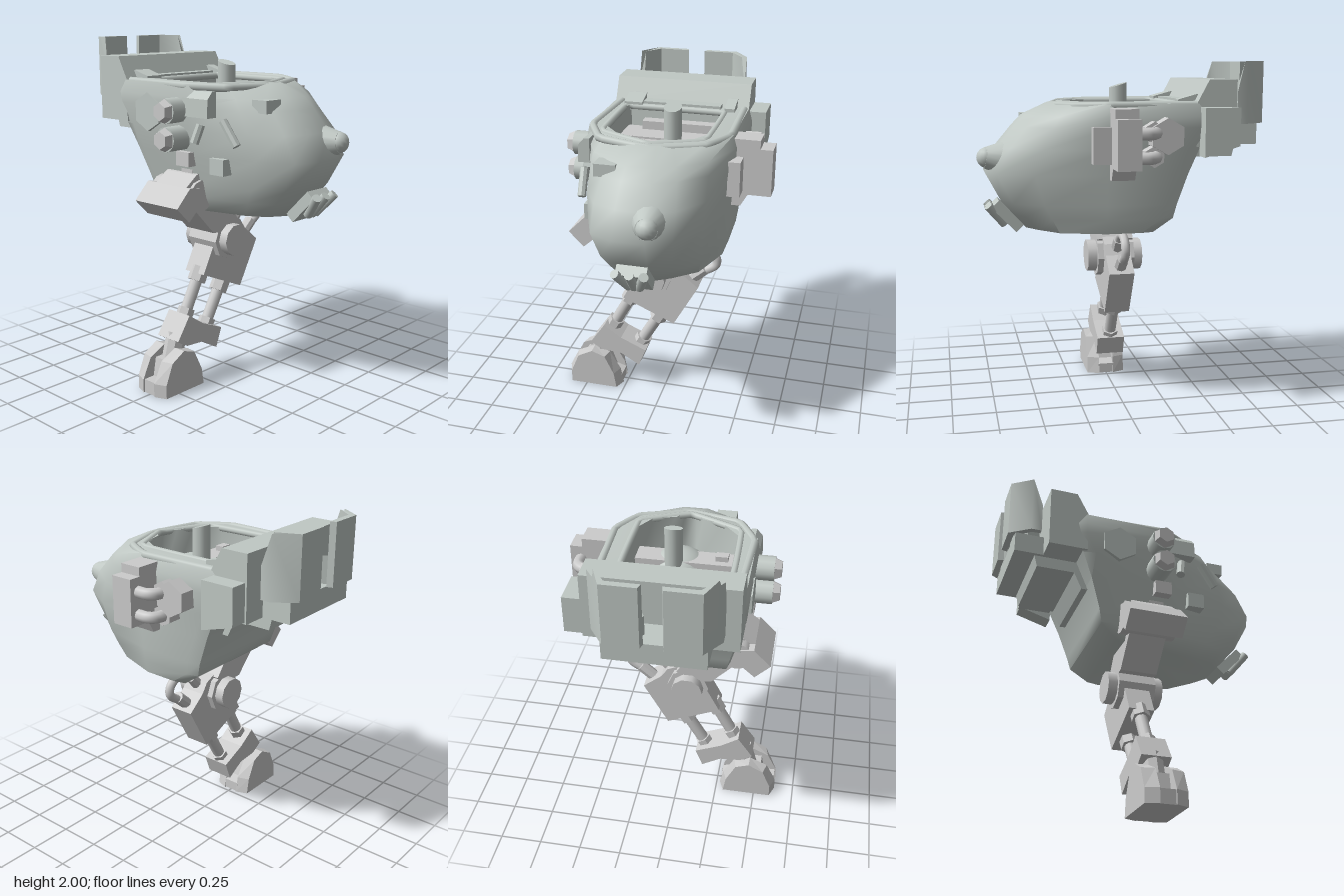
import * as THREE from 'three';
import { toCreasedNormals } from 'three/addons/utils/BufferGeometryUtils.js';

const V = (p) => new THREE.Vector3(...p);

export function createModel() {
  const root = new THREE.Group();
  const shell = new THREE.MeshStandardMaterial({ color: 0xc0c8c4, side: THREE.DoubleSide });
  const metal = new THREE.MeshStandardMaterial({ color: 0xcccccc });

  const add = (name, geo, mat) => {
    const m = new THREE.Mesh(geo, mat);
    m.name = name;
    root.add(m);
    return m;
  };
  // box given by its min and max corners
  const box = (name, mat, a, b) => {
    const m = add(name, new THREE.BoxGeometry(b[0] - a[0], b[1] - a[1], b[2] - a[2]), mat);
    m.position.set((a[0] + b[0]) / 2, (a[1] + b[1]) / 2, (a[2] + b[2]) / 2);
    return m;
  };
  // cylinder between two points, with an optional second radius at the far end
  const rod = (name, mat, a, b, r, sides = 12, r2 = r, open = false) => {
    const d = V(b).sub(V(a));
    const g = new THREE.CylinderGeometry(r2, r, d.length(), sides, 1, open);
    const m = add(name, sides < 10 ? toCreasedNormals(g, 0.3) : g, mat);
    m.position.copy(V(a)).addScaledVector(d, 0.5);
    m.quaternion.setFromUnitVectors(new THREE.Vector3(0, 1, 0), d.normalize());
    return m;
  };
  const tube = (name, mat, pts, r, closed = false, tension = 0.5) => add(name,
    new THREE.TubeGeometry(new THREE.CatmullRomCurve3(pts.map(V), closed, 'catmullrom', tension), 48, r, 8, closed), mat);
  const outline = (pts) => new THREE.Shape(pts.map((p) => new THREE.Vector2(...p)));
  // side profile in (z, y), extruded across x
  const sideProfile = (name, mat, pts, x0, x1) => {
    const g = new THREE.ExtrudeGeometry(outline(pts), { depth: x1 - x0, bevelEnabled: false });
    g.translate(0, 0, -(x1 - x0) / 2).rotateY(-Math.PI / 2).translate((x0 + x1) / 2, 0, 0);
    return add(name, g, mat);
  };
  // front profile in (x, y), extruded along z
  const frontProfile = (name, mat, pts, z0, z1) => {
    const g = new THREE.ExtrudeGeometry(outline(pts), { depth: z1 - z0, bevelEnabled: false });
    return add(name, g.translate(0, 0, z0), mat);
  };

  // --- Hull: horizontal rings going up, over the rim and down into the cockpit
  // [y, rear x, front x, +z width, -z width, front width]
  const levels = [
    [1.05, -0.15, 0.54, 0.28, 0.37, 0.16],
    [1.13, -0.26, 0.61, 0.32, 0.39, 0.18],
    [1.21, -0.28, 0.68, 0.34, 0.4, 0.2],
    [1.38, -0.34, 0.77, 0.38, 0.41, 0.22],
    [1.52, -0.4, 0.7, 0.41, 0.42, 0.22],
    [1.64, -0.46, 0.6, 0.42, 0.43, 0.2],
    [1.7, -0.46, 0.54, 0.425, 0.43, 0.18],
    [1.77, -0.46, 0.39, 0.41, 0.41, 0.12],
    [1.77, -0.31, 0.34, 0.31, 0.28, 0.08],
    [1.54, -0.3, 0.33, 0.3, 0.27, 0.08],
  ];
  const ring = ([y, x0, x1, wp, wn, f]) => {
    const half = (w, s, k) => {
      const xs = 0.12;
      return [[x0, w * 0.95], [x0 + 0.07, w], [xs, w], [xs + (x1 - xs) * 0.6, w * k + f * (1 - k)], [x1 - 0.06, f], [x1, f * 0.4]]
        .map(([x, z]) => [x, y, z * s]);
    };
    return [...half(wp, 1, 0.5), ...half(wn, -1, 0.6).reverse()];
  };
  const rings = levels.map(ring);
  const n = rings[0].length, pos = [], idx = [];
  rings.forEach((r) => r.forEach((p) => pos.push(...p)));
  for (let k = 0; k < rings.length - 1; k++) {
    for (let i = 0; i < n; i++) {
      const a = k * n + i, b = k * n + (i + 1) % n;
      idx.push(a, b, b + n, a, b + n, a + n);
    }
  }
  const last = (rings.length - 1) * n;
  for (let i = 1; i < n - 1; i++) idx.push(0, i + 1, i, last, last + i, last + i + 1);
  const hull = new THREE.BufferGeometry();
  hull.setAttribute('position', new THREE.Float32BufferAttribute(pos, 3));
  hull.setIndex(idx);
  add('hull', toCreasedNormals(hull, 1.2), shell);

  // Cockpit rims
  tube('outerRim', shell, [[-0.45, 1.76, 0.37], [0.1, 1.76, 0.395], [0.3, 1.755, 0.29], [0.38, 1.75, 0],
    [0.28, 1.755, -0.29], [0.1, 1.76, -0.395], [-0.45, 1.76, -0.38]], 0.024, false, 0.05);
  tube('innerRim', shell, [[-0.3, 1.76, 0.32], [0.2, 1.76, 0.31], [0.345, 1.76, 0],
    [0.22, 1.76, -0.28], [-0.3, 1.76, -0.28]], 0.02, true, 0.05);
  box('cockpitBackrest', shell, [-0.42, 1.66, -0.25], [-0.32, 1.79, 0.31]);
  [[0.22, 0.33], [-0.34, -0.28]].forEach(([a, b]) => frontProfile('rimLatch', shell,
    [[-0.43, 1.74], [-0.29, 1.74], [-0.29, 1.79], [-0.4, 1.82], [-0.43, 1.82]], a, b));

  // Cockpit interior
  box('seatBase', metal, [-0.28, 1.52, -0.27], [-0.08, 1.65, 0.3]);
  box('seatBack', metal, [-0.29, 1.52, -0.25], [-0.22, 1.7, 0.2]);
  box('console', metal, [-0.02, 1.52, -0.26], [0.11, 1.66, 0.3]);
  box('consoleSwitch', metal, [0.02, 1.66, 0.19], [0.07, 1.69, 0.26]);
  const dome = add('consoleDome', new THREE.SphereGeometry(0.16, 20, 10, 0, Math.PI * 2, 0, Math.PI / 2), shell);
  dome.position.set(0.07, 1.53, -0.02);
  dome.scale.set(1, 1, 1.15);
  // periscope with a slanted top
  const scope = rod('periscope', shell, [-0.01, 1.6, -0.04], [-0.01, 1.865, -0.04], 0.052, 12);
  const sp = scope.geometry.attributes.position;
  for (let i = 0; i < sp.count; i++) if (sp.getY(i) > 0) sp.setY(i, sp.getY(i) - sp.getX(i) * 0.3);

  // Nose, chin vents and front details
  rod('nose', shell, [0.62, 1.45, -0.08], [0.77, 1.465, -0.1], 0.12, 16, 0.06);
  add('noseTip', new THREE.SphereGeometry(0.06, 16, 10), shell).position.set(0.755, 1.465, -0.1);
  const chin = box('chinPlate', shell, [-0.1, -0.03, -0.085], [0.1, 0.03, 0.085]);
  chin.position.set(0.645, 1.12, 0);
  chin.rotation.z = 0.8;
  [-1, 0, 1].forEach((i) => rod('chinVent', shell, [0.66, 1.07, i * 0.03], [0.755, 1.185, i * 0.08], 0.026, 10));
  rod('cheekStrutFront', shell, [0.34, 1.59, 0.37], [0.43, 1.46, 0.36], 0.024, 8);
  rod('cheekStrut', shell, [0.205, 1.56, 0.4], [0.185, 1.46, 0.43], 0.026, 8);
  sideProfile('brow', shell, [[0.36, 1.6], [0.43, 1.6], [0.425, 1.7], [0.39, 1.74], [0.36, 1.74]], 0.09, 0.28);
  box('cheekLamp', shell, [0.25, 1.29, 0.26], [0.35, 1.38, 0.38]);
  box('sideLamp', shell, [0.44, 1.63, 0.13], [0.54, 1.7, 0.25]);

  // Twin barrels on the front flank
  [1.63, 1.475].forEach((y) => {
    rod('barrel', shell, [0.05, y, 0.38], [0.05, y, 0.52], 0.07, 12);
    rod('barrelTip', metal, [0.05, y, 0.52], [0.05, y, 0.56], 0.068, 6, 0.05);
  });
  rod('flankHexPlate', shell, [-0.19, 1.6, 0.38], [-0.19, 1.6, 0.43], 0.11, 6);
  box('barrelBracket', metal, [0.03, 1.32, 0.34], [0.13, 1.4, 0.42]);

  // Rear flank pod with pipes
  sideProfile('flankPod', metal, [[-0.4, 1.36], [-0.46, 1.36], [-0.5, 1.43], [-0.63, 1.43],
    [-0.63, 1.7], [-0.56, 1.7], [-0.56, 1.75], [-0.4, 1.75]], -0.02, 0.11);
  box('flankPodMount', metal, [0.1, 1.45, -0.47], [0.21, 1.65, -0.36]);
  rod('rearHexPlate', metal, [-0.19, 1.6, -0.38], [-0.19, 1.6, -0.52], 0.1, 6);
  [1.62, 1.49].forEach((y) => {
    rod('pipeNut', metal, [-0.12, y, -0.38], [-0.12, y, -0.5], 0.06, 6);
    tube('podPipe', metal, [[0, y, -0.57], [-0.08, y, -0.57], [-0.12, y, -0.53], [-0.12, y, -0.45]], 0.034);
  });

  // Rear block and the stepped parts below it
  frontProfile('rearBlock', shell, [[-0.61, 1.53], [-0.38, 1.53], [-0.38, 1.77], [-0.45, 1.9], [-0.61, 1.9]], -0.41, 0.41);
  frontProfile('rearSidePod', shell, [[-0.6, 1.54], [-0.4, 1.48], [-0.4, 1.75], [-0.6, 1.75]], -0.51, -0.4);
  box('exhaustBridge', shell, [-0.78, 1.53, -0.27], [-0.6, 1.65, 0.27]);
  frontProfile('rearShelf', shell, [[-0.66, 1.54], [-0.64, 1.46], [-0.35, 1.46], [-0.35, 1.54]], -0.25, 0.25);
  frontProfile('rearStep', shell, [[-0.42, 1.47], [-0.37, 1.36], [-0.3, 1.36], [-0.3, 1.47]], -0.25, 0.25);

  // Rear exhausts: six-sided nozzles inside bent shields with a clipped top corner
  [1, -1].forEach((s) => {
    rod('exhaustNozzle', shell, [-0.7, 1.6, 0.15 * s], [-0.7, 1.76, 0.15 * s], 0.09, 6, 0.09, true);
    rod('exhaustCone', shell, [-0.7, 1.64, 0.15 * s], [-0.7, 1.73, 0.15 * s], 0.085, 6, 0.01);
    const bend = [[-0.82, 0.06], [-0.785, 0.05], [-0.785, 0.23], [-0.69, 0.305], [-0.64, 0.305], [-0.64, 0.335], [-0.7, 0.335], [-0.82, 0.25]];
    const g = new THREE.ExtrudeGeometry(outline(bend.map(([x, z]) => [x, -z * s])), { depth: 0.35, bevelEnabled: false });
    g.rotateX(-Math.PI / 2).translate(0, 1.65, 0);
    const p = g.attributes.position;
    for (let i = 0; i < p.count; i++) if (p.getY(i) > 1.95 && p.getX(i) > -0.66) p.setY(i, 1.83);
    add('exhaustShield', toCreasedNormals(g, 0.8), shell);
  });

  // --- Leg: hip, upper arm, knee
  sideProfile('hipPlate', metal, [[0.55, 1.11], [0.46, 1.02], [0.38, 1.09], [0.37, 1.2], [0.45, 1.21]], -0.17, 0.17);
  sideProfile('hipBlock', metal, [[0.45, 1.21], [0.4, 1.08], [0.24, 1.14], [0.24, 1.27], [0.3, 1.29], [0.37, 1.27]], -0.1, 0.14);
  rod('hipAxle', metal, [-0.16, 1.15, 0.35], [0.16, 1.15, 0.35], 0.09, 12);
  box('hipBracket', metal, [0.01, 1.2, 0.22], [0.1, 1.36, 0.36]);
  sideProfile('upperLeg', metal, [[0.38, 1.24], [0.43, 1.14], [0.2, 0.9], [0.04, 0.89], [-0.01, 0.95], [0.22, 1.25]], -0.11, 0.11);
  sideProfile('kneeHousing', metal, [[0.25, 0.65], [0.13, 0.88], [0.06, 0.99], [-0.07, 0.93], [-0.11, 0.87], [-0.22, 0.78], [-0.07, 0.51]], -0.075, 0.075);
  rod('kneeAxle', metal, [-0.11, 0.84, 0.06], [0.11, 0.84, 0.06], 0.125, 8);
  rod('kneeBolt', metal, [-0.165, 0.84, 0.06], [0.165, 0.84, 0.06], 0.095, 10);
  rod('hoseSocket', metal, [0, 0.89, -0.06], [0, 0.97, -0.13], 0.035, 8);
  tube('kneeHose', metal, [[0, 0.95, -0.11], [0, 1.0, -0.18], [0, 1.01, -0.25], [0, 0.97, -0.31],
    [0, 0.91, -0.31], [0, 0.86, -0.24], [0, 0.81, -0.17]], 0.026);
  rod('hoseSocketLower', metal, [0, 0.88, -0.25], [0, 0.81, -0.17], 0.036, 8);

  // Twin pistons, ankle and foot
  [[[0, 0.7, 0.18], [0, 0.35, 0.37]], [[0, 0.6, -0.01], [0, 0.24, 0.2]]].forEach(([a, b]) => {
    const at = (t) => V(a).lerp(V(b), t).toArray();
    rod('piston', metal, a, b, 0.036);
    rod('pistonCollarTop', metal, at(0.08), at(0.3), 0.055, 6);
    rod('pistonCollarBottom', metal, at(0.72), at(0.95), 0.05, 6);
  });
  sideProfile('ankleBlock', metal, [[0.38, 0.435], [0.473, 0.3], [0.4, 0.255], [0.27, 0.245], [0.154, 0.175], [0.11, 0.29], [0.27, 0.36]], -0.085, 0.085);
  rod('ankleJoint', metal, [0, 0.32, 0.4], [0, 0.14, 0.45], 0.06, 8);
  const footProfile = [[0.63, 0], [0.63, 0.08], [0.57, 0.2], [0.46, 0.25], [0.36, 0.22], [0.29, 0.1], [0.27, 0]];
  [1, -1].forEach((s) => {
    const side = sideProfile('footSide', metal, footProfile, s > 0 ? 0.045 : -0.118, s > 0 ? 0.118 : -0.045);
    // pull in the outer corners
    const p = side.geometry.attributes.position;
    for (let i = 0; i < p.count; i++) if (Math.abs(p.getX(i)) > 0.1) p.setZ(i, 0.45 + (p.getZ(i) - 0.45) * 0.84);
    side.geometry.computeVertexNormals();
  });
  sideProfile('footCore', metal, [[0.62, 0], [0.62, 0.08], [0.55, 0.08], [0.53, 0.19], [0.38, 0.19], [0.34, 0.08], [0.28, 0.06], [0.28, 0]], -0.05, 0.05);

  return root;
}
